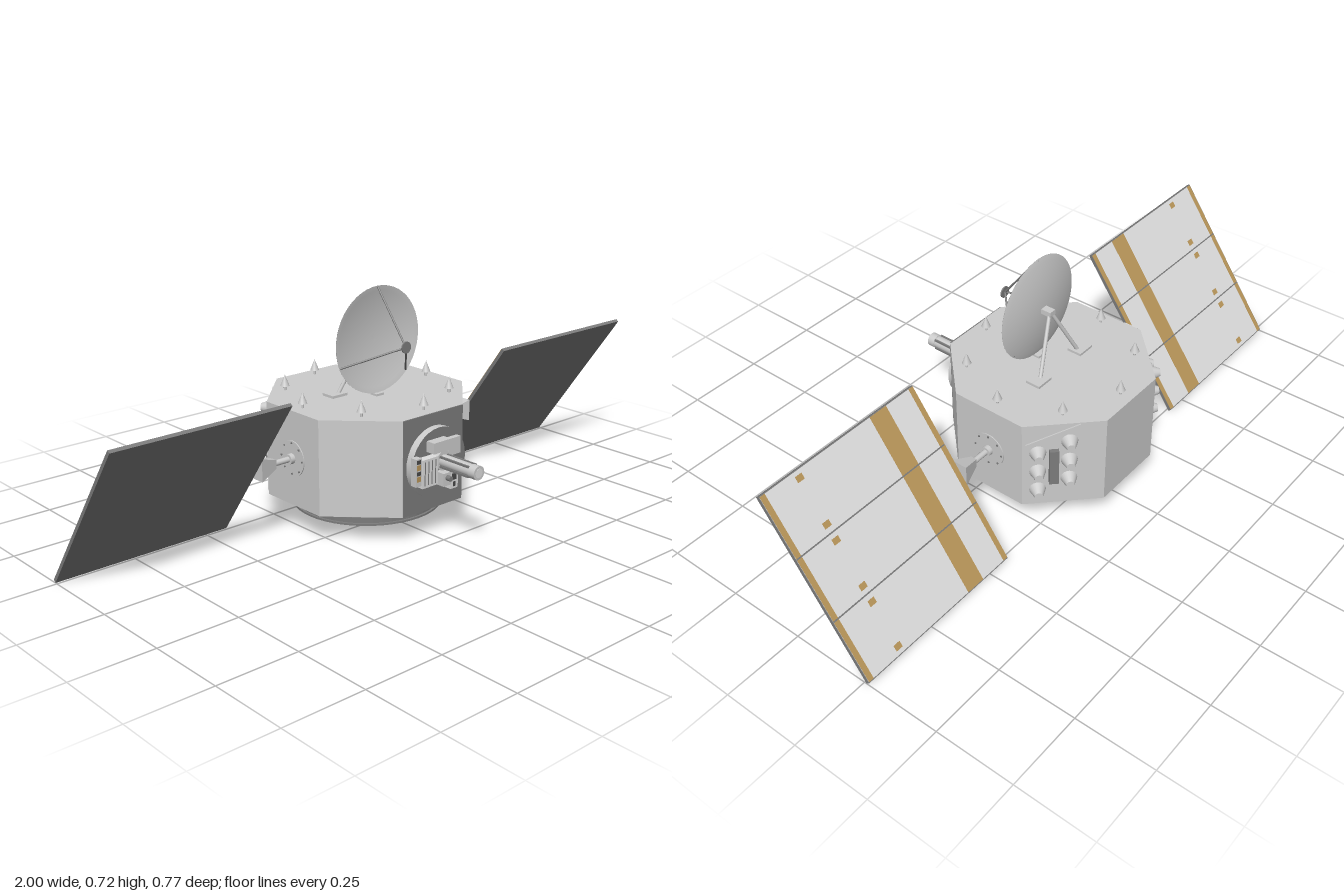
import * as THREE from 'three';

const CZ = -0.0925;      // body axis in z
const CY = 0.239;        // height of panel axis and front instrument
const APOTHEM = 0.2925;  // octagon body
const TOP = 0.386;

export function createModel() {
  const mat = (name, color) => {
    const m = new THREE.MeshStandardMaterial({ color });
    m.name = name;
    return m;
  };
  const light = mat('light grey', 0xcccccc);
  const grey = mat('mid grey', 0x7c7c7c);
  const white = mat('panel white', 0xdedede);
  const gold = mat('gold', 0xb89559);
  const dark = mat('dark grey', 0x484848);

  const root = new THREE.Group();
  root.name = 'satellite';

  const add = (parent, name, geo, material, x = 0, y = 0, z = 0) => {
    const m = new THREE.Mesh(geo, material);
    m.name = name;
    m.position.set(x, y, z);
    parent.add(m);
    return m;
  };
  const group = (name, x = 0, y = 0, z = 0) => {
    const g = new THREE.Group();
    g.name = name;
    g.position.set(x, y, z);
    root.add(g);
    return g;
  };
  const box = (w, h, d) => new THREE.BoxGeometry(w, h, d);
  const cyl = (rTop, rBottom, h, n = 24) => new THREE.CylinderGeometry(rTop, rBottom, h, n);
  const cylZ = (rFront, rBack, h, n = 24) => cyl(rFront, rBack, h, n).rotateX(Math.PI / 2);
  const flat = (geo) => {
    const g = geo.toNonIndexed();
    g.computeVertexNormals();
    return g;
  };
  // round bar between two points
  const bar = (parent, name, a, b, r, material) => {
    const p = new THREE.Vector3(...a), q = new THREE.Vector3(...b);
    const dir = q.clone().sub(p);
    const m = add(parent, name, cyl(r, r, dir.length(), 10), material);
    m.position.copy(p).add(q).multiplyScalar(0.5);
    m.quaternion.setFromUnitVectors(new THREE.Vector3(0, 1, 0), dir.normalize());
  };

  // octagonal body with a darker front face
  const R = APOTHEM / Math.cos(Math.PI / 8);
  add(root, 'body', flat(cyl(R, R, 0.296, 8).rotateY(Math.PI / 8)), light, 0, 0.238, CZ);
  add(root, 'frontFace', box(0.24, 0.296, 0.004), grey, 0, 0.238, CZ + APOTHEM);

  // hollow skirt ring with flanges
  const ring = (rOut, rIn, y0, y1) => flat(new THREE.LatheGeometry([
    [rIn, y0], [rOut, y0], [rOut, y1], [rIn, y1], [rIn, y0],
  ].map(([x, y]) => new THREE.Vector2(x, y)), 48));
  const skirt = group('skirt', 0, 0, CZ);
  add(skirt, 'skirtWall', ring(0.225, 0.205, 0.038, 0.092), grey);
  for (const [a, b] of [[0.082, 0.09], [0.055, 0.062], [0.037, 0.043]])
    add(skirt, 'skirtFlange', ring(0.2325, 0.215, a, b), grey);
  add(skirt, 'skirtFloor', cyl(0.21, 0.21, 0.03, 40), grey, 0, 0.067, 0);
  for (const [row, sign] of [[0.085, 1], [-0.115, -1]])
    for (const x of [-0.11, -0.035, 0.04, 0.115]) {
      const m = add(skirt, 'bottomBlock', box(0.02, 0.018, 0.036), white, x, 0.046, row - sign * x * 0.2);
      m.rotation.x = 0.25;
    }

  // ring of studs on the roof
  for (let i = 0; i < 8; i++) {
    const a = i * Math.PI / 4;
    const g = group('roofStud', Math.sin(a) * 0.2515, TOP, CZ + Math.cos(a) * 0.2515);
    add(g, 'studStem', cyl(0.004, 0.004, 0.016, 8), light, 0, 0.008, 0);
    add(g, 'studCone', new THREE.ConeGeometry(0.014, 0.036, 16), light, 0, 0.032, 0);
  }

  // solar wings
  const L = 0.578, W = 0.575, T = 0.011, MID = 0.7125;
  for (const s of [1, -1]) {
    const wing = group(s > 0 ? 'leftWing' : 'rightWing', 0, CY, CZ);
    const panel = new THREE.Group();
    panel.name = 'solarPanel';
    panel.rotation.x = Math.atan2(0.339, 0.468);
    wing.add(panel);
    add(panel, 'panelBoard', box(W, L, T), grey, s * MID);
    const plate = (name, w, h, material, x, y, layer) =>
      add(panel, name, box(w, h, 0.001), material, s * x, y, -T / 2 - layer * 0.0007);
    plate('panelBack', W - 0.004, L - 0.006, white, MID, 0, 0);
    for (const [x, w] of [[0.434, 0.017], [0.566, 0.064], [0.989, 0.017]])
      plate('goldStripe', w, L - 0.006, gold, x, 0, 1);
    for (const v of [-0.265, -0.122, -0.072, 0.072, 0.122, 0.265])
      plate('goldTab', 0.023, 0.018, gold, 0.872, v, 1);
    for (const v of [-L / 6, L / 6])
      plate('panelSeam', W - 0.004, 0.004, grey, MID, v, 2);

    // arm: thin rod that flares into the panel yoke
    bar(wing, 'armRod', [s * 0.29, 0, 0], [s * 0.37, 0, 0], 0.009, light);
    const yoke = new THREE.CylinderGeometry(0.05, 0.018, 0.065, 4, 1).rotateY(Math.PI / 4);
    yoke.scale(1, 1, 0.75).rotateZ(-s * Math.PI / 2);
    add(wing, 'armYoke', flat(yoke), light, s * 0.393);

    // round hub on the body side with bolts
    add(wing, 'armHub', cyl(0.055, 0.055, 0.006, 32).rotateZ(Math.PI / 2), light, s * APOTHEM);
    add(wing, 'armSocket', cyl(0.016, 0.016, 0.02, 16).rotateZ(Math.PI / 2), light, s * 0.3);
    for (let i = 0; i < 8; i++) {
      const a = i * Math.PI / 4;
      add(wing, 'hubBolt', cyl(0.003, 0.003, 0.008, 8).rotateZ(Math.PI / 2), grey,
        s * (APOTHEM + 0.002), Math.sin(a) * 0.048, Math.cos(a) * 0.048);
    }

    // thruster cluster on the rear corner face
    const k = APOTHEM * Math.SQRT1_2;
    const pod = group('thrusterCluster', s * k, 0, CZ - k);
    pod.rotation.y = s * Math.PI * 0.75;
    const outline = new THREE.Shape([[-0.111, 0.097], [0.046, 0.158], [0.046, 0.383], [-0.111, 0.319]]
      .map(([u, y]) => new THREE.Vector2(s * u, y)));
    add(pod, 'thrusterPlate', new THREE.ExtrudeGeometry(outline, { depth: 0.004, bevelEnabled: false }), light);
    add(pod, 'thrusterBox', box(0.028, 0.122, 0.016), grey, s * -0.03, 0.238, 0.01);
    for (const [u, y0] of [[-0.076, 0.151], [0.015, 0.187]])
      for (let i = 0; i < 3; i++)
        add(pod, 'thruster', cylZ(0.012, 0.025, 0.034, 20), light, s * u, y0 + i * 0.069, 0.02);
  }

  // dish antenna facing forward
  const DY = 0.559, DR = 0.165, BACK = -0.063, RIM = -0.041;
  const dish = group('dishAntenna');
  const profile = [];
  for (let i = 0; i <= 10; i++) profile.push(new THREE.Vector2(DR * i / 10, 0.022 * (i / 10) ** 2));
  for (let i = 10; i >= 0; i--) profile.push(new THREE.Vector2(DR * i / 10, 0.0025 + 0.0205 * (i / 10) ** 2));
  add(dish, 'dishReflector', new THREE.LatheGeometry(profile, 48).rotateX(Math.PI / 2), light, 0, DY, BACK);
  for (const deg of [90, 203, 315]) {
    const a = deg * Math.PI / 180;
    bar(dish, 'feedStrut', [Math.cos(a) * DR * 0.98, DY + Math.sin(a) * DR * 0.98, RIM], [0, DY, 0.082], 0.003, grey);
  }
  add(dish, 'feedDisc', cylZ(0.018, 0.018, 0.004), grey, 0, DY, 0.083);
  add(dish, 'dishPivot', box(0.024, 0.016, 0.034), light, 0, DY, -0.079);
  for (const s of [1, -1]) {
    bar(dish, 'dishLeg', [s * 0.006, 0.553, -0.088], [s * 0.09, 0.39, -0.122], 0.006, light);
    add(dish, 'dishFoot', box(0.058, 0.008, 0.048), light, s * 0.1, TOP + 0.004, -0.124);
  }
  add(dish, 'roofPad', box(0.03, 0.007, 0.028), light, 0, TOP + 0.0035, -0.044);

  // front instrument turret
  const turret = group('frontInstrument', 0, 0, 0.2);
  add(turret, 'turretDisc', cylZ(0.109, 0.109, 0.025, 32), [light, grey, grey], 0, CY, 0.0125);
  const unit = (name, x0, x1, y0, y1, depth, material) =>
    add(turret, name, box(x1 - x0, y1 - y0, depth), material, (x0 + x1) / 2, (y0 + y1) / 2, 0.025 + depth / 2);
  unit('sideUnit', -0.112, -0.09, 0.195, 0.28, 0.022, light);
  for (const y of [0.21, 0.245]) unit('sideUnitGold', -0.109, -0.094, y, y + 0.016, 0.023, gold);
  for (const y of [0.229, 0.264]) unit('sideUnitDark', -0.109, -0.094, y, y + 0.012, 0.023, dark);
  unit('slottedUnit', -0.088, -0.026, 0.185, 0.272, 0.024, white);
  for (let i = 0; i < 4; i++) unit('slot', -0.08 + i * 0.014, -0.077 + i * 0.014, 0.192, 0.265, 0.025, grey);
  unit('upperUnit', -0.05, 0.018, 0.284, 0.317, 0.031, light);
  unit('rightUnit', 0.024, 0.072, 0.258, 0.31, 0.017, light);
  unit('lowerUnit', -0.012, 0.018, 0.175, 0.215, 0.033, light);
  unit('lowerCamera', 0.024, 0.054, 0.157, 0.21, 0.026, white);
  unit('cameraWindow', 0.03, 0.048, 0.184, 0.204, 0.027, dark);
  unit('cameraSlot', 0.034, 0.044, 0.163, 0.178, 0.027, dark);
  add(turret, 'lowerLens', cylZ(0.008, 0.008, 0.02, 16), grey, 0.003, 0.2, 0.064);

  // telescope barrel with long ribs and a front collar
  const TY = 0.249;
  add(turret, 'barrelBase', cylZ(0.03, 0.03, 0.018), light, 0.003, TY, 0.034);
  add(turret, 'barrel', cylZ(0.0195, 0.0195, 0.15), light, 0.003, TY, 0.1);
  add(turret, 'barrelCollar', cylZ(0.0215, 0.0215, 0.025), light, 0.003, TY, 0.1725);
  for (let i = 0; i < 4; i++) {
    const a = (i + 0.5) * Math.PI / 2;
    add(turret, 'barrelRib', box(0.006, 0.006, 0.118), grey,
      0.003 + Math.cos(a) * 0.021, TY + Math.sin(a) * 0.021, 0.1);
  }
  add(turret, 'barrelLens', cylZ(0.014, 0.014, 0.002), white, 0.003, TY, 0.1845);

  return root;
}
